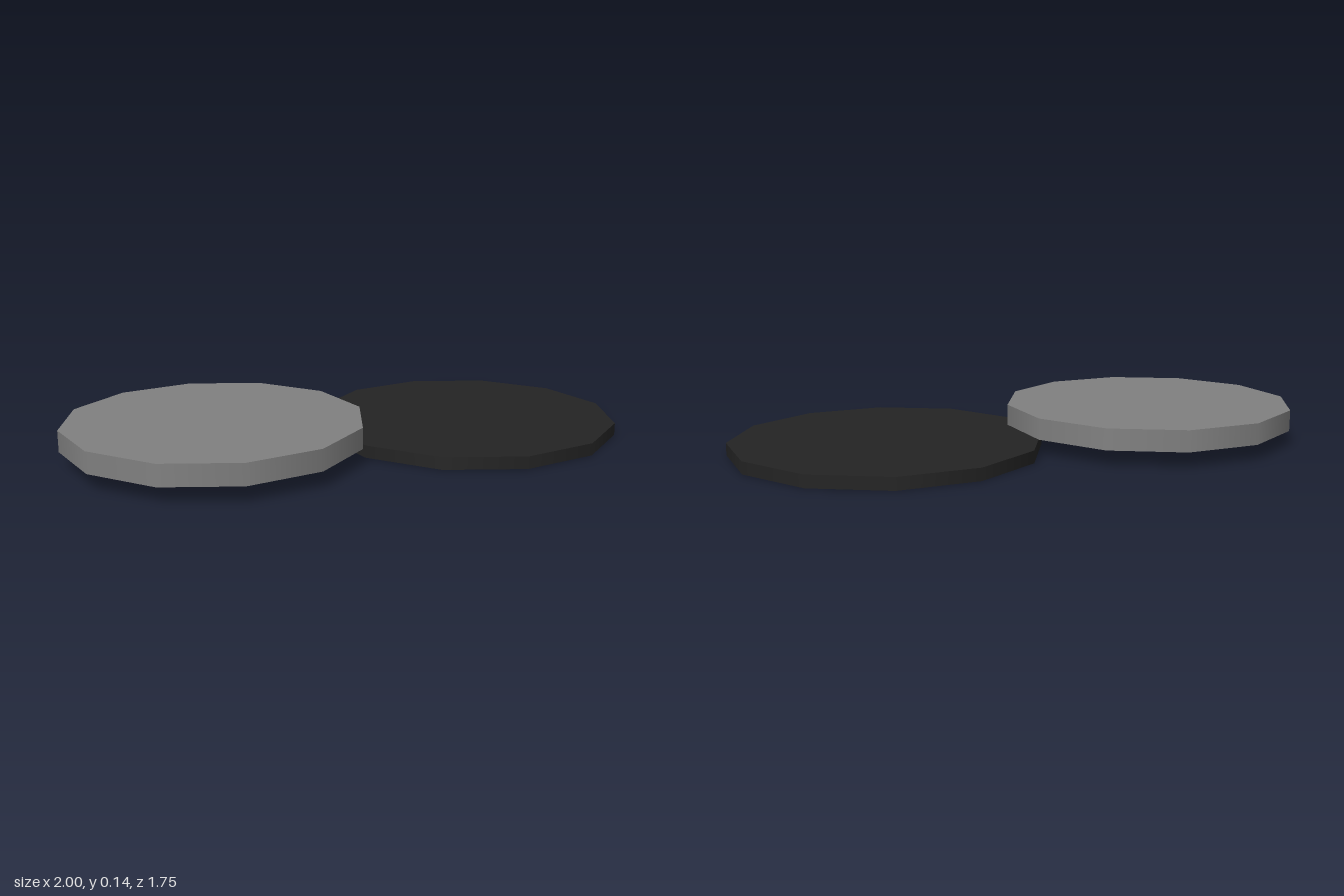
import * as THREE from 'three';

export function createModel() {
  const model = new THREE.Group();
  const grey = new THREE.MeshStandardMaterial({ name: 'grey', color: 0x808080 });
  const black = new THREE.MeshStandardMaterial({ name: 'black', color: 0x232323 });

  // Twelve-sided disc resting at the given height
  function addDisc(name, material, radius, thickness, x, bottom, z) {
    const disc = new THREE.Mesh(new THREE.CylinderGeometry(radius, radius, thickness, 12), material);
    disc.name = name;
    disc.position.set(x, bottom + thickness / 2, z);
    model.add(disc);
  }

  // Thin dark disc on the ground, thicker grey disc overlapping just above it
  addDisc('lowerDisc', black, 0.592, 0.047, 0.408, 0, -0.287);
  addDisc('upperDisc', grey, 0.56, 0.08, -0.44, 0.06, 0.313);

  return model;
}
